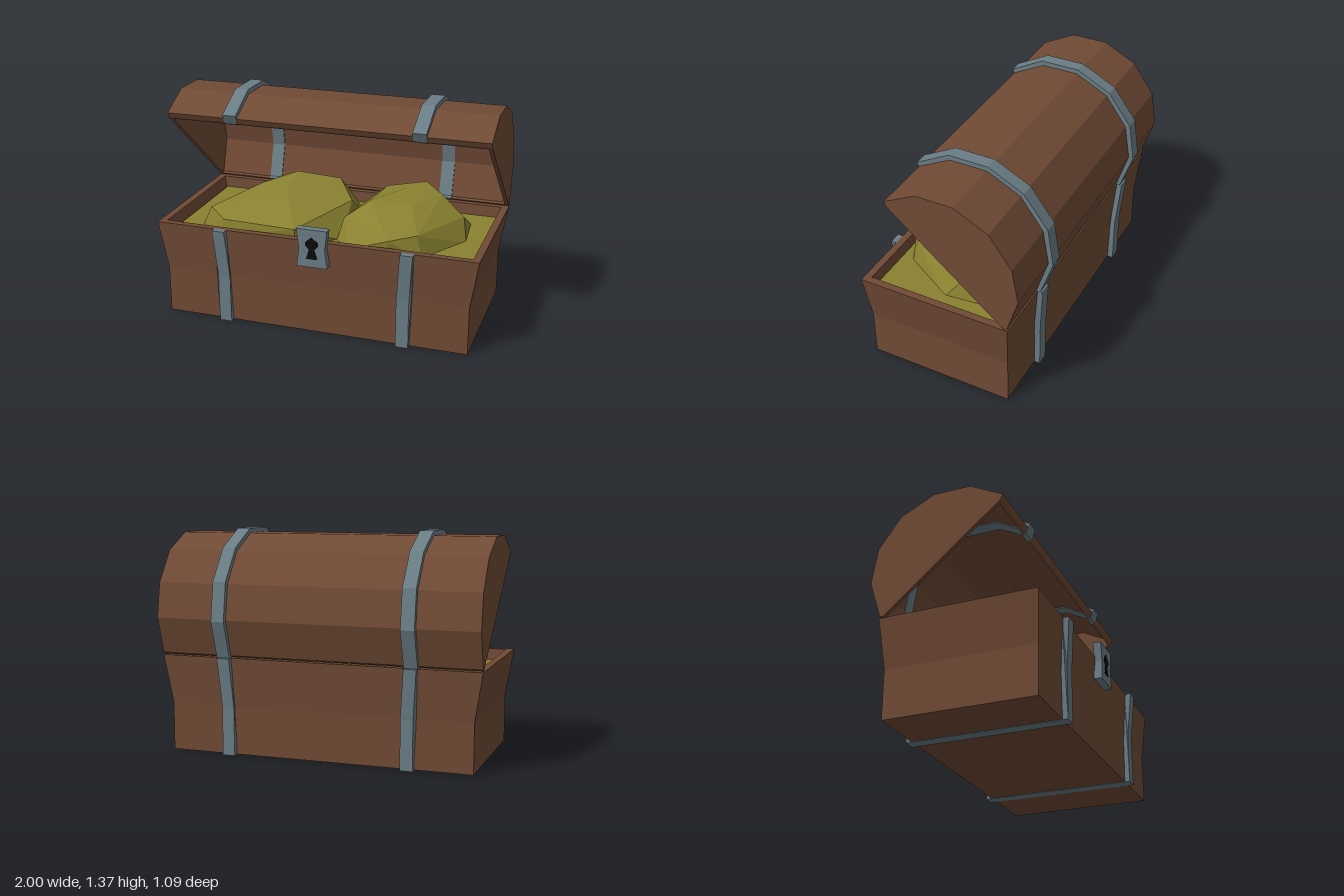
import * as THREE from 'three';
import { ConvexGeometry } from 'three/addons/geometries/ConvexGeometry.js';

const mat = (color) => new THREE.MeshStandardMaterial({ color, flatShading: true });

// Closed (z, y) outline extruded along x, centred on x = 0
function extrudeX(points, width) {
  const shape = new THREE.Shape(points.map(([z, y]) => new THREE.Vector2(z, y)));
  const geo = new THREE.ExtrudeGeometry(shape, { depth: width, bevelEnabled: false });
  return geo.rotateY(-Math.PI / 2).translate(width / 2, 0, 0);
}

// Stack of rectangular rings [halfX, zFront, zBack, y] joined into a solid
function loftRings(rings) {
  const pos = [], idx = [];
  for (const [x, f, b, y] of rings) pos.push(-x, y, f, x, y, f, x, y, b, -x, y, b);
  for (let r = 0; r < rings.length - 1; r++) {
    for (let i = 0; i < 4; i++) {
      const a = r * 4 + i, b = r * 4 + (i + 1) % 4;
      idx.push(a, b, b + 4, a, b + 4, a + 4);
    }
  }
  const e = (rings.length - 1) * 4;
  idx.push(0, 2, 1, 0, 3, 2, e, e + 1, e + 2, e, e + 2, e + 3);
  const geo = new THREE.BufferGeometry();
  geo.setAttribute('position', new THREE.Float32BufferAttribute(pos, 3));
  geo.setIndex(idx);
  const flat = geo.toNonIndexed();
  flat.computeVertexNormals();
  return flat;
}

export function createModel() {
  const group = new THREE.Group();
  const wood = mat(0x704a35), steel = mat(0x6a7d85), gold = mat(0x8a8230), black = mat(0x0a0a0a);
  const add = (name, geo, material, x = 0) => {
    const mesh = new THREE.Mesh(geo, material);
    mesh.name = name;
    mesh.position.x = x;
    group.add(mesh);
    return mesh;
  };

  // Hollow box with flared upper half
  add('base', loftRings([
    [0.95, 0.484, -0.425, 0.003],
    [0.95, 0.484, -0.425, 0.3],
    [1.0, 0.506, -0.449, 0.6],
    [0.955, 0.462, -0.405, 0.6],
    [0.905, 0.44, -0.383, 0.3],
    [0.905, 0.44, -0.383, 0.05],
  ]), wood);

  // Open lid: faceted shell plus two end walls
  const lidOuter = [
    [0.282, 1.205], [0.298, 1.236], [0.095, 1.342], [-0.135, 1.342], [-0.342, 1.24],
    [-0.48, 1.05], [-0.516, 0.836], [-0.447, 0.615], [-0.43, 0.605],
  ];
  const inset = (s) => lidOuter.map(([z, y]) => [-0.074 + (z + 0.074) * s, 0.905 + (y - 0.905) * s]);
  add('lidShell', extrudeX([...lidOuter, ...inset(0.96).reverse()], 1.95), wood);
  for (const s of [1, -1]) add('lidEnd', extrudeX(lidOuter, 0.025), wood, s * 0.9875);

  // Metal straps around lid and base
  const lidStrap = [
    [0.284, 1.2], [0.313, 1.258], [0.105, 1.371], [-0.142, 1.371], [-0.36, 1.262],
    [-0.509, 1.065], [-0.545, 0.829], [-0.469, 0.602], [-0.43, 0.602],
    ...inset(0.945).reverse(),
  ];
  const baseStrap = [
    [0.54, 0.6], [0.516, 0.3], [0.516, 0], [-0.46, 0], [-0.46, 0.3], [-0.482, 0.6],
    [-0.44, 0.6], [-0.415, 0.3], [-0.415, 0.015], [0.474, 0.015], [0.474, 0.3], [0.498, 0.6],
  ];
  for (const s of [1, -1]) {
    add('lidStrap', extrudeX(lidStrap, 0.083), steel, s * 0.586);
    const geo = extrudeX(baseStrap, 0.077).translate(s * 0.562, 0, 0);
    const p = geo.attributes.position;
    // Lean outwards with the flare of the box
    for (let i = 0; i < p.count; i++) {
      p.setX(i, p.getX(i) + s * 0.022 * Math.max(0, (p.getY(i) - 0.3) / 0.3));
    }
    geo.computeVertexNormals();
    add('baseStrap', geo, steel);
  }

  // Waisted lock plate with keyhole
  const plate = (points, depth, z) => {
    const shape = new THREE.Shape(points.map(([x, y]) => new THREE.Vector2(x, y)));
    return new THREE.ExtrudeGeometry(shape, { depth, bevelEnabled: false }).translate(0, 0, z);
  };
  add('lockPlate', plate([
    [-0.095, 0.69], [-0.08, 0.57], [-0.095, 0.453], [0.095, 0.453], [0.08, 0.57], [0.095, 0.69],
  ], 0.048, 0.499), steel, 0.017);
  add('keyhole', plate([
    [0, 0.642], [-0.04, 0.61], [-0.04, 0.59], [-0.017, 0.565], [-0.035, 0.505],
    [0.035, 0.505], [0.017, 0.565], [0.04, 0.59], [0.04, 0.61],
  ], 0.003, 0.546), black, 0.017);

  // Treasure: flat fill with two faceted mounds
  add('goldFill', new THREE.BoxGeometry(1.87, 0.1, 0.85).translate(0, 0.48, 0.028), gold);
  const mound = (points) => add('goldMound',
    new ConvexGeometry(points.map((p) => new THREE.Vector3(...p))), gold);
  mound([
    [-0.8, 0.52, 0.28], [-0.62, 0.52, 0.42], [-0.12, 0.52, 0.45], [0.1, 0.52, 0.25],
    [0.14, 0.52, -0.2], [-0.1, 0.52, -0.39], [-0.6, 0.52, -0.38], [-0.82, 0.52, -0.1],
    [-0.74, 0.65, 0.28], [-0.6, 0.63, 0.41], [-0.12, 0.645, 0.468], [0.09, 0.69, 0.0],
    [-0.52, 0.73, -0.02], [-0.34, 0.77, -0.2], [-0.3, 0.755, 0.12], [-0.05, 0.755, -0.2],
    [-0.45, 0.68, -0.32],
  ]);
  mound([
    [0.08, 0.52, 0.28], [0.18, 0.52, 0.38], [0.45, 0.52, 0.44], [0.64, 0.52, 0.38],
    [0.83, 0.52, 0.05], [0.8, 0.52, -0.25], [0.6, 0.52, -0.4], [0.2, 0.52, -0.4], [0.04, 0.52, -0.1],
    [0.11, 0.66, 0.22], [0.45, 0.64, 0.458], [0.6, 0.655, 0.36], [0.26, 0.77, 0.17],
    [0.51, 0.787, -0.22], [0.64, 0.755, -0.1], [0.79, 0.645, -0.05], [0.25, 0.72, -0.25],
    [0.5, 0.755, 0.12],
  ]);

  return group;
}
